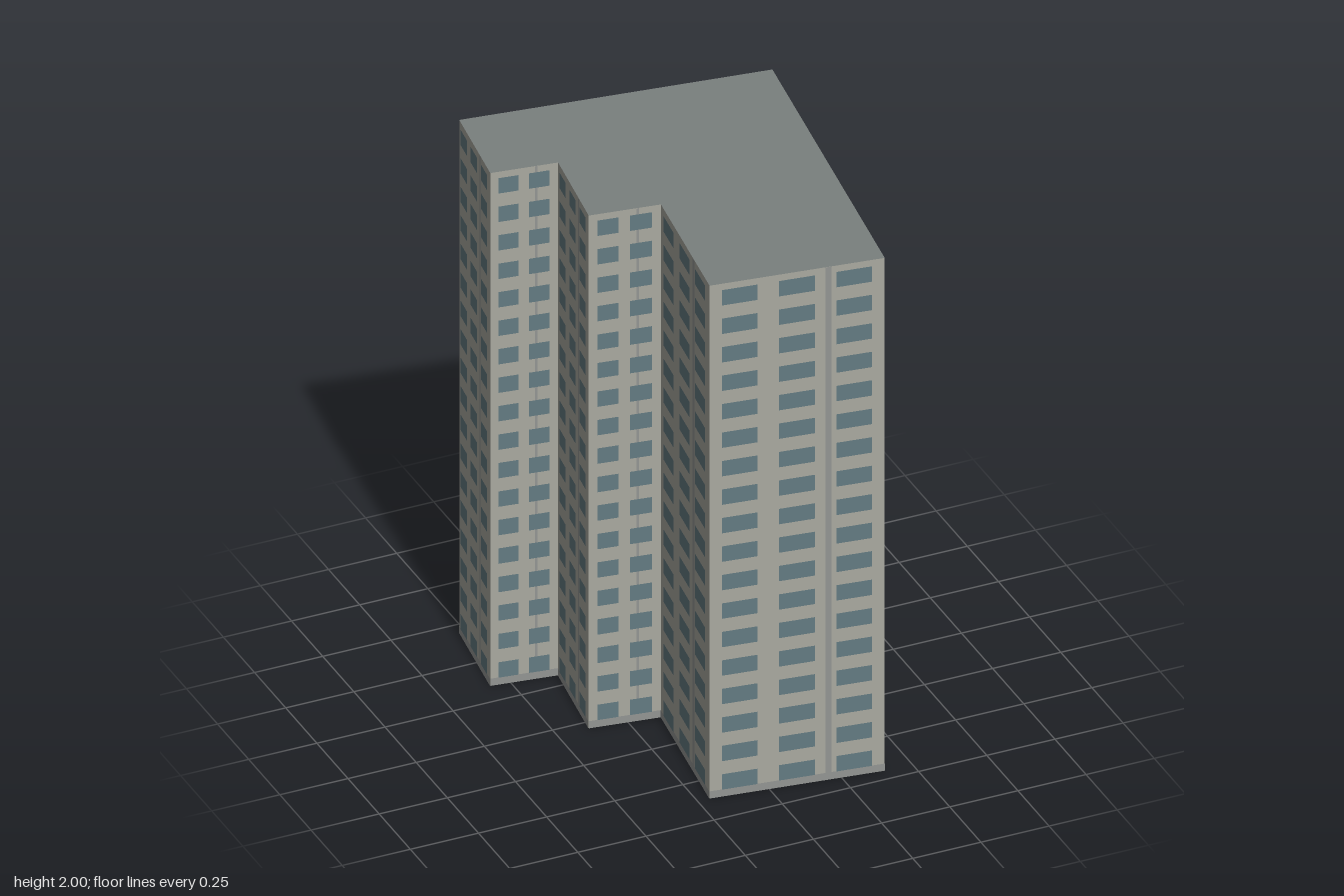
import * as THREE from 'three';
import { mergeGeometries } from 'three/addons/utils/BufferGeometryUtils.js';

const HEIGHT = 2;
const ROWS = 18;
const FLOOR = HEIGHT / ROWS;

// Footprint corners [x, z]; each wall runs left to right as seen from outside
const FOOTPRINT = [
  [-0.206, 0.617], [0.4, 0.697], [0.563, -0.561], [-0.522, -0.7],
  [-0.57, -0.346], [-0.336, -0.314], [-0.385, 0.039], [-0.136, 0.074],
];

// Window columns as [start, end] fractions of the wall length
const WIDE_COLUMNS = [[0.07, 0.272], [0.396, 0.6], [0.722, 0.926]];
const NARROW_COLUMNS = [[0.12, 0.41], [0.57, 0.87]];

const material = (color, side = THREE.FrontSide) =>
  new THREE.MeshStandardMaterial({ color, side });
const wallMaterial = material(0xa9a9a0, THREE.DoubleSide);
const roofMaterial = material(0x7a807e, THREE.DoubleSide);
const windowMaterial = material(0x647b82);
const trimMaterial = material(0x939593);

// Upright rectangle in wall coordinates, lifted off the wall by z
function panel(x0, x1, y0, y1, z = 0) {
  return new THREE.PlaneGeometry(x1 - x0, y1 - y0)
    .translate((x0 + x1) / 2, (y0 + y1) / 2, z);
}

function addMesh(parent, name, geometry, mat) {
  const mesh = new THREE.Mesh(geometry, mat);
  mesh.name = name;
  parent.add(mesh);
}

function createWall([ax, az], [bx, bz]) {
  const length = Math.hypot(bx - ax, bz - az);
  const wall = new THREE.Group();
  wall.name = 'facade';
  wall.position.set(ax, 0, az);
  wall.rotation.y = -Math.atan2(bz - az, bx - ax);

  addMesh(wall, 'wall', panel(0, length, 0, HEIGHT), wallMaterial);

  // Plinth band and vertical service strip
  addMesh(wall, 'trim', mergeGeometries([
    panel(0, length, 0, 0.028, 0.0015),
    panel(0.66 * length, 0.695 * length, 0.028, HEIGHT, 0.0015),
  ]), trimMaterial);

  // Rows of windows
  const columns = length < 0.3 ? NARROW_COLUMNS : WIDE_COLUMNS;
  const panes = [];
  for (let row = 0; row < ROWS; row++) {
    const y = 0.058 + row * FLOOR;
    for (const [u0, u1] of columns) {
      panes.push(panel(u0 * length, u1 * length, y - 0.03, y + 0.03, 0.003));
    }
  }
  addMesh(wall, 'windows', mergeGeometries(panes), windowMaterial);
  return wall;
}

export function createModel() {
  const tower = new THREE.Group();
  tower.name = 'towerBlock';

  FOOTPRINT.forEach((corner, i) => {
    tower.add(createWall(corner, FOOTPRINT[(i + 1) % FOOTPRINT.length]));
  });

  // Flat roof; the underside of the shell stays open
  const outline = new THREE.Shape(FOOTPRINT.map(([x, z]) => new THREE.Vector2(x, -z)));
  const roof = new THREE.ShapeGeometry(outline).rotateX(-Math.PI / 2).translate(0, HEIGHT, 0);
  addMesh(tower, 'roof', roof, roofMaterial);

  return tower;
}
